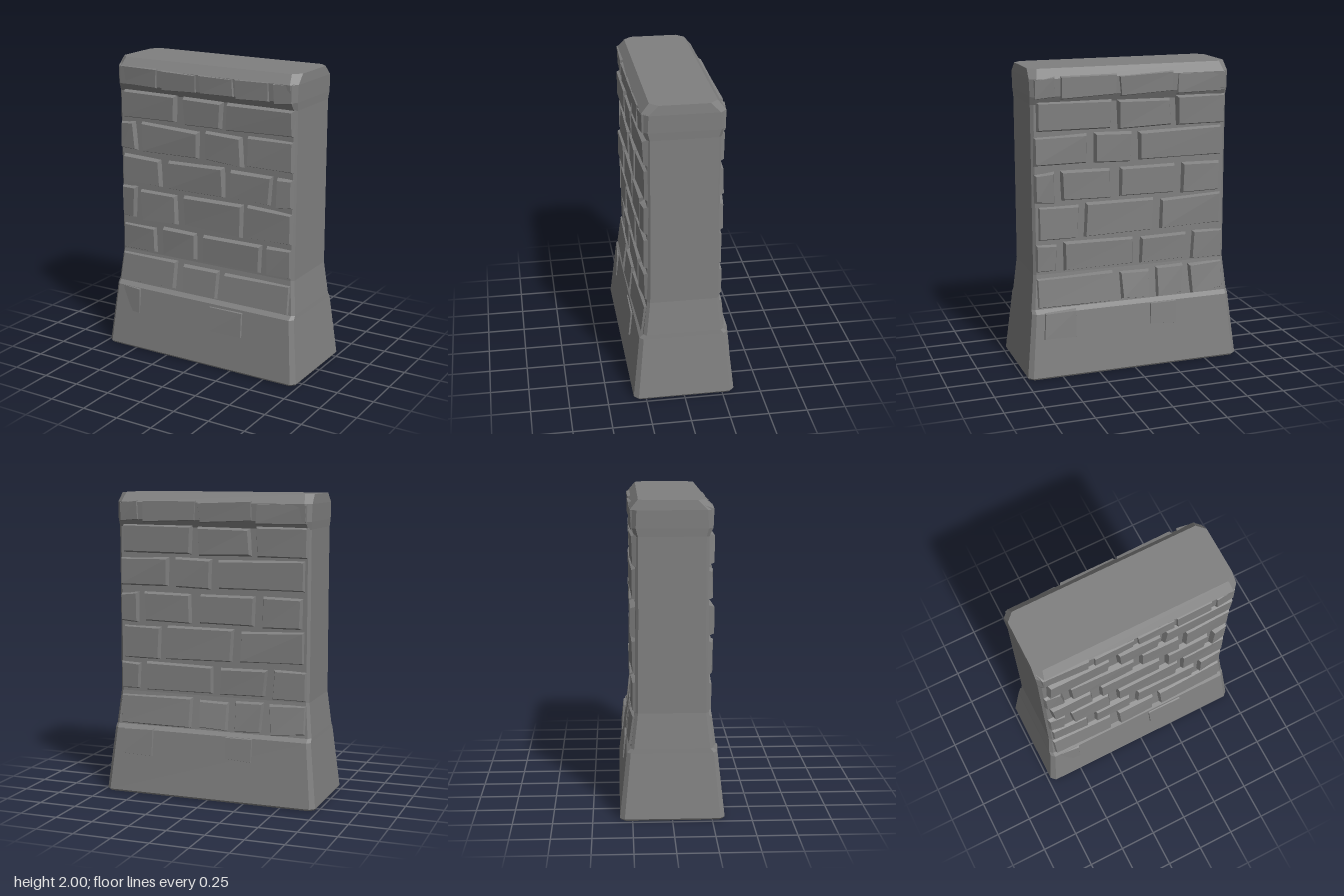
import * as THREE from 'three';

const stone = new THREE.MeshStandardMaterial({ color: 0x808080 });
stone.name = 'grey stone';

// small seeded random, -1..1
let seed = 7;
const rnd = () => {
  seed = (seed * 16807) % 2147483647;
  return (seed / 2147483647) * 2 - 1;
};

const flat = (geo) => {
  const g = geo.index ? geo.toNonIndexed() : geo;
  g.computeVertexNormals();
  return g;
};

// core: chamfered rectangles stacked by height [y, halfX, halfZ, chamfer]
const SECTIONS = [
  [0, 0.722, 0.322, 0.03], [0.012, 0.73, 0.33, 0.03],
  [0.43, 0.685, 0.284, 0.025], [0.455, 0.683, 0.258, 0.02],
  [0.68, 0.66, 0.23, 0.018], [1.3, 0.66, 0.225, 0.018], [1.78, 0.66, 0.225, 0.018],
  [1.83, 0.663, 0.25, 0.03], [1.94, 0.666, 0.255, 0.04], [2, 0.662, 0.205, 0.05],
];

function coreGeometry() {
  const pos = [], idx = [], n = 8;
  for (const [y, a, b, c] of SECTIONS) {
    const ring = [[a, b - c], [a - c, b], [c - a, b], [-a, b - c],
      [-a, c - b], [c - a, -b], [a - c, -b], [a, c - b]];
    for (const [x, z] of ring) pos.push(x, y, z);
  }
  const last = (SECTIONS.length - 1) * n;
  for (let s = 0; s < last; s += n) {
    for (let i = 0; i < n; i++) {
      const j = (i + 1) % n;
      idx.push(s + i, s + n + i, s + j, s + j, s + n + i, s + n + j);
    }
  }
  for (let i = 1; i < n - 1; i++) {
    idx.push(0, i, i + 1);
    idx.push(last, last + i + 1, last + i);
  }
  const g = new THREE.BufferGeometry();
  g.setAttribute('position', new THREE.Float32BufferAttribute(pos, 3));
  g.setIndex(idx);
  return flat(g);
}

// depth of the brick faces at a height
const FACE = [[0, 0.33], [0.44, 0.288], [0.68, 0.258], [1.6, 0.258], [1.95, 0.264], [2, 0.23]];
function faceZ(y) {
  for (let i = 1; i < FACE.length; i++) {
    const [y0, z0] = FACE[i - 1], [y1, z1] = FACE[i];
    if (y <= y1) return z0 + (z1 - z0) * (y - y0) / (y1 - y0);
  }
  return FACE[FACE.length - 1][1];
}

// rough brick: a box with a smaller, uneven outer face
function brickGeometry(x0, x1, y0, y1, proud) {
  const g = new THREE.BoxGeometry(2, 2, 2);
  const p = g.attributes.position;
  const jitter = Array.from({ length: 4 }, () => [rnd() * 0.01, rnd() * 0.01, rnd() * 0.004]);
  for (let i = 0; i < p.count; i++) {
    const sx = p.getX(i), sy = p.getY(i), outer = p.getZ(i) > 0;
    const [jx, jy, jz] = jitter[(sx > 0 ? 1 : 0) + (sy > 0 ? 2 : 0)];
    const edge = Math.abs(sx > 0 ? x1 : x0) > 0.62; // bricks at the wall's ends stay flush
    const inset = outer ? 0.014 : -0.008;
    const x = (sx > 0 ? x1 : x0) - sx * inset + (edge ? 0 : jx);
    const y = (sy > 0 ? y1 : y0) - sy * inset + jy;
    const z = outer ? faceZ(y) + proud + jz - (edge ? 0.012 : 0) : faceZ(y) - 0.06;
    p.setXYZ(i, x, y, z);
  }
  return flat(g);
}

// courses: bottom, top, then the start and end of each brick
const FRONT = [
  [1.81, 1.955, [-0.65, -0.33], [-0.32, -0.04], [-0.03, 0.24], [0.24, 0.49], [0.5, 0.65]],
  [1.6, 1.79, [-0.62, -0.2], [-0.15, 0.14], [0.17, 0.65]],
  [1.38, 1.58, [-0.65, -0.52], [-0.48, -0.03], [0.01, 0.29], [0.33, 0.65]],
  [1.15, 1.35, [-0.62, -0.33], [-0.28, 0.16], [0.2, 0.5], [0.53, 0.65]],
  [0.91, 1.13, [-0.65, -0.53], [-0.49, -0.2], [-0.15, 0.3], [0.33, 0.65]],
  [0.69, 0.88, [-0.64, -0.37], [-0.32, -0.06], [-0.01, 0.43], [0.47, 0.65]],
  [0.46, 0.66, [-0.65, -0.2], [-0.16, 0.12], [0.16, 0.65]],
];
const BACK = [
  [1.81, 1.955, [-0.65, -0.5], [-0.49, -0.1], [-0.09, 0.28], [0.3, 0.65]],
  [1.6, 1.79, [-0.63, -0.14], [-0.1, 0.27], [0.31, 0.65]],
  [1.38, 1.58, [-0.65, -0.29], [-0.25, 0], [0.04, 0.63]],
  [1.15, 1.35, [-0.65, -0.52], [-0.48, -0.14], [-0.09, 0.3], [0.34, 0.62]],
  [0.91, 1.13, [-0.63, -0.36], [-0.32, 0.15], [0.19, 0.63]],
  [0.69, 0.88, [-0.65, -0.51], [-0.47, 0.01], [0.05, 0.38], [0.42, 0.65]],
  [0.46, 0.66, [-0.65, -0.13], [-0.08, 0.12], [0.16, 0.36], [0.4, 0.65]],
];
// low stones barely raised from the plinth: x0, x1, y0, y1
const FRONT_PLINTH = [[-0.63, -0.46, 0.24, 0.44], [0.06, 0.33, 0.23, 0.43]];
const BACK_PLINTH = [[-0.62, -0.38, 0.25, 0.44], [0.1, 0.3, 0.27, 0.44]];

function brickFace(name, courses, plinth) {
  const face = new THREE.Group();
  face.name = name;
  const add = (label, ...args) => {
    const m = new THREE.Mesh(brickGeometry(...args), stone);
    m.name = label;
    face.add(m);
  };
  courses.forEach(([y0, y1, ...bricks], row) => {
    for (const [x0, x1] of bricks) add(row ? 'brick' : 'capStone', x0, x1, y0, y1, 0);
  });
  for (const b of plinth) add('plinthStone', ...b, 0.006);
  return face;
}

export function createModel() {
  seed = 7;
  const wall = new THREE.Group();
  wall.name = 'brickWall';
  const core = new THREE.Mesh(coreGeometry(), stone);
  core.name = 'wallCore';
  const front = brickFace('frontBricks', FRONT, FRONT_PLINTH);
  const back = brickFace('backBricks', BACK, BACK_PLINTH);
  back.rotation.y = Math.PI;
  wall.add(core, front, back);
  return wall;
}
